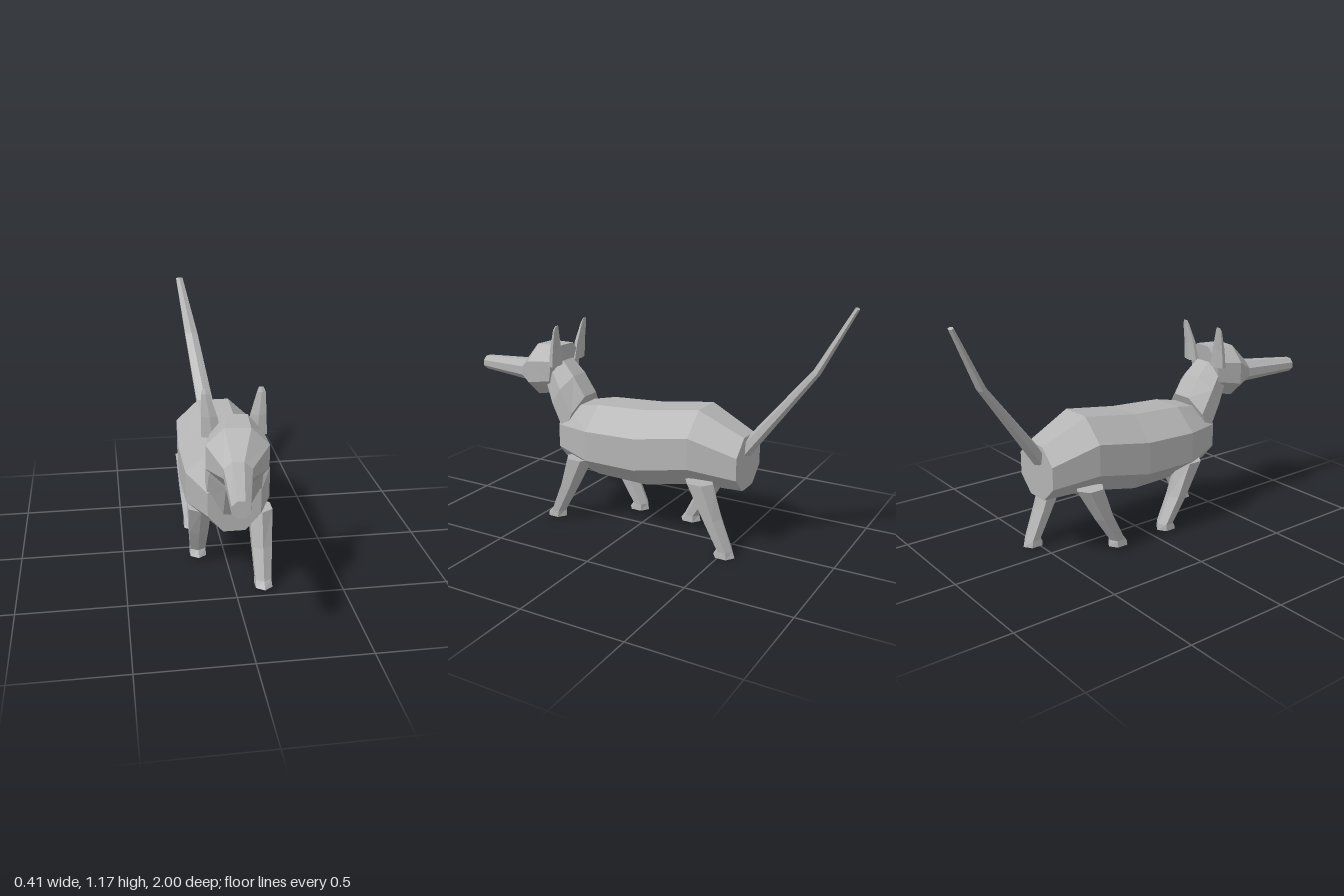
import * as THREE from 'three';

const Y = new THREE.Vector3(0, 1, 0);

// Skin a closed low-poly tube through elliptical rings, with flat end caps.
// ring: [x, y, z, halfWidth, halfHeight, pitch, yaw]; rings run along their facing direction.
function loft(rings, sides) {
  const pos = [], index = [];
  const grow = 1 / Math.cos(Math.PI / sides);
  for (const [x, y, z, w, h, pitch = 0, yaw = 0] of rings) {
    const u = new THREE.Vector3(1, 0, 0).applyAxisAngle(Y, -yaw);
    const v = new THREE.Vector3(0, Math.cos(pitch), -Math.sin(pitch)).applyAxisAngle(Y, -yaw);
    for (let j = 0; j < sides; j++) {
      const a = ((j + 0.5) / sides) * Math.PI * 2;
      const p = new THREE.Vector3(x, y, z)
        .addScaledVector(u, Math.cos(a) * w * grow)
        .addScaledVector(v, Math.sin(a) * h * grow);
      pos.push(p.x, p.y, p.z);
    }
  }
  const last = (rings.length - 1) * sides;
  for (let j = 0; j < sides; j++) {
    const k = (j + 1) % sides;
    for (let i = 0; i < last; i += sides) {
      index.push(i + j, i + k, i + sides + k, i + j, i + sides + k, i + sides + j);
    }
    if (j > 0 && j < sides - 1) {
      index.push(0, j + 1, j, last, last + j, last + j + 1);
    }
  }
  const g = new THREE.BufferGeometry();
  g.setAttribute('position', new THREE.Float32BufferAttribute(pos, 3));
  g.setIndex(index);
  const flat = g.toNonIndexed();
  flat.computeVertexNormals();
  return flat;
}

export function createModel() {
  const group = new THREE.Group();
  const grey = new THREE.MeshStandardMaterial({ color: 0xb4b4b4, flatShading: true });
  grey.name = 'grey';
  const add = (name, rings, sides) => {
    const m = new THREE.Mesh(loft(rings, sides), grey);
    m.name = name;
    group.add(m);
  };

  // Long octagonal trunk, rump to chest
  add('body', [
    [0, 0.432, -0.565, 0.135, 0.128],
    [0, 0.485, -0.345, 0.19, 0.18],
    [0, 0.437, -0.07, 0.205, 0.188],
    [0, 0.432, 0.2, 0.2, 0.178],
    [0, 0.433, 0.405, 0.122, 0.138],
  ], 8);

  // Neck rising forward out of the chest
  add('neck', [
    [0, 0.502, 0.35, 0.125, 0.138, 0.39],
    [0, 0.632, 0.42, 0.122, 0.11, 0.55],
    [-0.005, 0.715, 0.475, 0.1, 0.09, 0.5],
  ], 8);

  // Head with a long snout, turned slightly to its right
  add('head', [
    [0, 0.75, 0.45, 0.112, 0.124, 0.15, 0.1],
    [-0.015, 0.735, 0.575, 0.135, 0.13, 0, 0.11],
    [-0.03, 0.708, 0.688, 0.06, 0.053, 0, 0.11],
    [-0.067, 0.7, 0.996, 0.037, 0.035, 0, 0.1],
  ], 8);

  // Thin upright ears
  const UP = Math.PI / 2;
  for (const [name, s] of [['rightEar', -1], ['leftEar', 1]]) {
    const x = (d) => -0.01 + s * d;
    add(name, [
      [x(0.098), 0.78, 0.44, 0.044, 0.018, UP],
      [x(0.107), 0.87, 0.433, 0.034, 0.014, UP],
      [x(0.121), 0.965, 0.418, 0.018, 0.007, UP],
      [x(0.121), 0.984, 0.413, 0.01, 0.004, UP],
    ], 6);
  }

  // Walking legs: side, height of sole, hip z, ankle z, sole z
  const legs = [
    ['leftFrontLeg', 1, 0.01, 0.272, 0.408, 0.42],
    ['rightFrontLeg', -1, 0.015, 0.225, 0.082, 0.09],
    ['leftRearLeg', 1, 0, -0.385, -0.52, -0.517],
    ['rightRearLeg', -1, 0.015, -0.37, -0.215, -0.208],
  ];
  for (const [name, s, y, hip, ankle, sole] of legs) {
    add(name, [
      [s * 0.135, y, sole, 0.039, 0.047, UP],
      [s * 0.135, y + 0.032, ankle, 0.037, 0.034, UP],
      [s * 0.138, 0.18, (hip + ankle) / 2, 0.046, 0.044, UP],
      [s * 0.14, 0.345, hip, 0.054, 0.062, UP],
    ], 6);
  }

  // Tapering flattened tail, swept up and back
  add('tail', [
    [0, 0.48, -0.545, 0.046, 0.03, 2.15],
    [-0.055, 0.88, -0.85, 0.034, 0.016, 2.1],
    [-0.103, 1.163, -0.994, 0.018, 0.009, 2.05],
  ], 6);

  return group;
}
